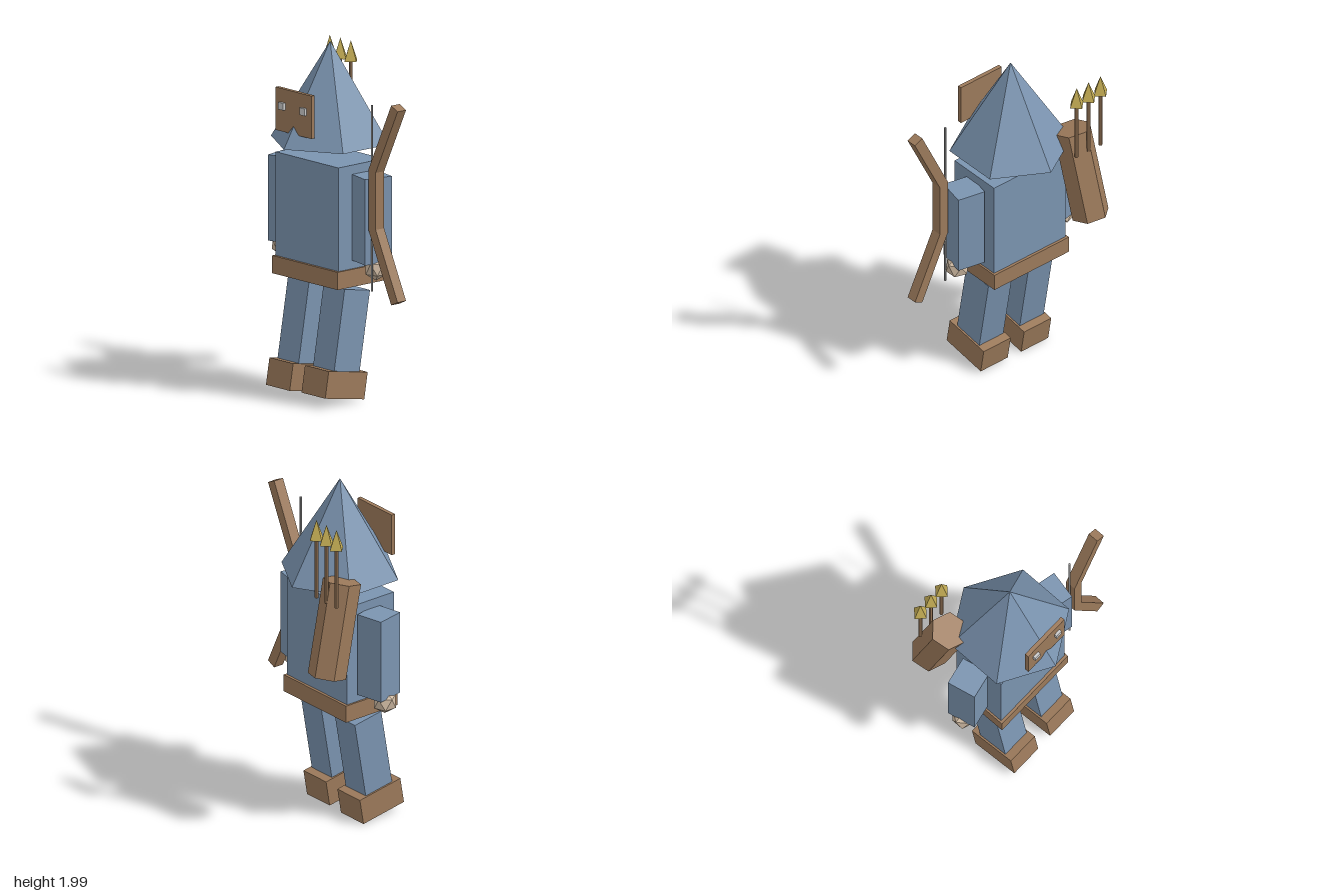
import * as THREE from 'three';

const flat = (name, color) => {
  const m = new THREE.MeshStandardMaterial({ color });
  m.name = name;
  m.flatShading = true;
  return m;
};

export function createModel() {
  const cloth = flat('blueCloth', 0x7b94b0);
  const leather = flat('brownLeather', 0x9c7a5b);
  const skin = flat('skin', 0xd0bba3);
  const gold = flat('goldMetal', 0xc6ae55);
  const eyeGrey = flat('eyeGrey', 0xcacaca);
  const cord = flat('cordGrey', 0xa9a9a9);

  const model = new THREE.Group();
  model.name = 'hoodedArcher';
  const MID = -0.108; // x of the body's own centre line
  const DEPTH = 0.046; // z of the body's own centre line

  const add = (name, geometry, material, x, y, z, parent = model) => {
    const mesh = new THREE.Mesh(geometry, material);
    mesh.name = name;
    mesh.position.set(x, y, z);
    parent.add(mesh);
    return mesh;
  };
  const box = (w, h, d) => new THREE.BoxGeometry(w, h, d);
  const extrude = (points, depth) => new THREE.ExtrudeGeometry(
    new THREE.Shape(points.map(([x, y]) => new THREE.Vector2(x, y))),
    { depth, bevelEnabled: false }
  );

  // Body
  add('hood', new THREE.ConeGeometry(0.342, 0.56, 6), cloth, MID, 1.72, DEPTH);
  add('torso', box(0.516, 0.6, 0.333), cloth, MID, 1.055, 0.05);
  add('belt', box(0.538, 0.1, 0.365), leather, MID, 0.72, 0.05);

  // Mask with a notch below the nose, and two square eyes
  add('mask', extrude([
    [-0.147, 1.515], [-0.043, 1.515], [0, 1.56], [0.043, 1.515],
    [0.147, 1.515], [0.147, 1.757], [-0.147, 1.757]
  ], 0.024), leather, MID, 0, 0.293);

  for (const side of [1, -1]) {
    const label = side > 0 ? 'left' : 'right';
    add(label + 'Eye', box(0.04, 0.04, 0.016), eyeGrey, MID + side * 0.087, 1.66, 0.325);

    // Arms turned slightly forward, with faceted hands
    const arm = add(label + 'Arm', box(0.165, 0.485, 0.169), cloth, MID + side * 0.335, 1.06, DEPTH);
    arm.rotation.y = -side * 0.21;
    const hand = add(label + 'Hand', new THREE.IcosahedronGeometry(0.07, 0), skin,
      MID + side * 0.382, 0.786, 0.05);
    hand.rotation.z = -side * 0.5536;

    // Legs lean back, carrying the boots in front
    const leg = new THREE.Group();
    leg.name = label + 'Leg';
    leg.position.set(MID + side * 0.146, side > 0 ? 0.412 : 0.404, 0.093);
    leg.rotation.x = -0.17;
    model.add(leg);
    add(label + 'Trouser', box(0.173, 0.456, 0.19), cloth, 0, 0, 0, leg);
    add(label + 'Boot', box(0.195, 0.152, 0.292), leather, 0, -0.303, 0, leg);
  }

  // Quiver slung over the right shoulder
  const bottom = new THREE.Vector3(-0.4, 1.005, -0.288);
  const top = new THREE.Vector3(-0.375, 1.535, -0.16);
  const axis = top.clone().sub(bottom);
  const quiverShape = new THREE.CylinderGeometry(0.107, 0.107, axis.length(), 6).rotateY(0.2);
  const quiver = add('quiver', quiverShape, leather, 0, 0, 0);
  quiver.position.copy(bottom).add(top).multiplyScalar(0.5);
  quiver.quaternion.setFromUnitVectors(new THREE.Vector3(0, 1, 0), axis.normalize());

  // Arrows
  for (const x of [-0.476, -0.39, -0.304]) {
    add('arrowShaft', new THREE.CylinderGeometry(0.011, 0.011, 0.36, 6), leather, x, 1.625, -0.283);
    add('arrowHead', new THREE.ConeGeometry(0.047, 0.115, 4), gold, x, 1.858, -0.283);
  }

  // Bow and string
  add('bow', extrude([
    [0.315, 1.02], [0.5, 0.63], [0.553, 0.655], [0.373, 1.033],
    [0.373, 1.355], [0.553, 1.732], [0.5, 1.757], [0.315, 1.367]
  ], 0.0625), leather, 0, 0, 0.08);
  add('bowString', new THREE.CylinderGeometry(0.007, 0.007, 1.05, 6), cord, 0.308, 1.195, 0.111);

  return model;
}
